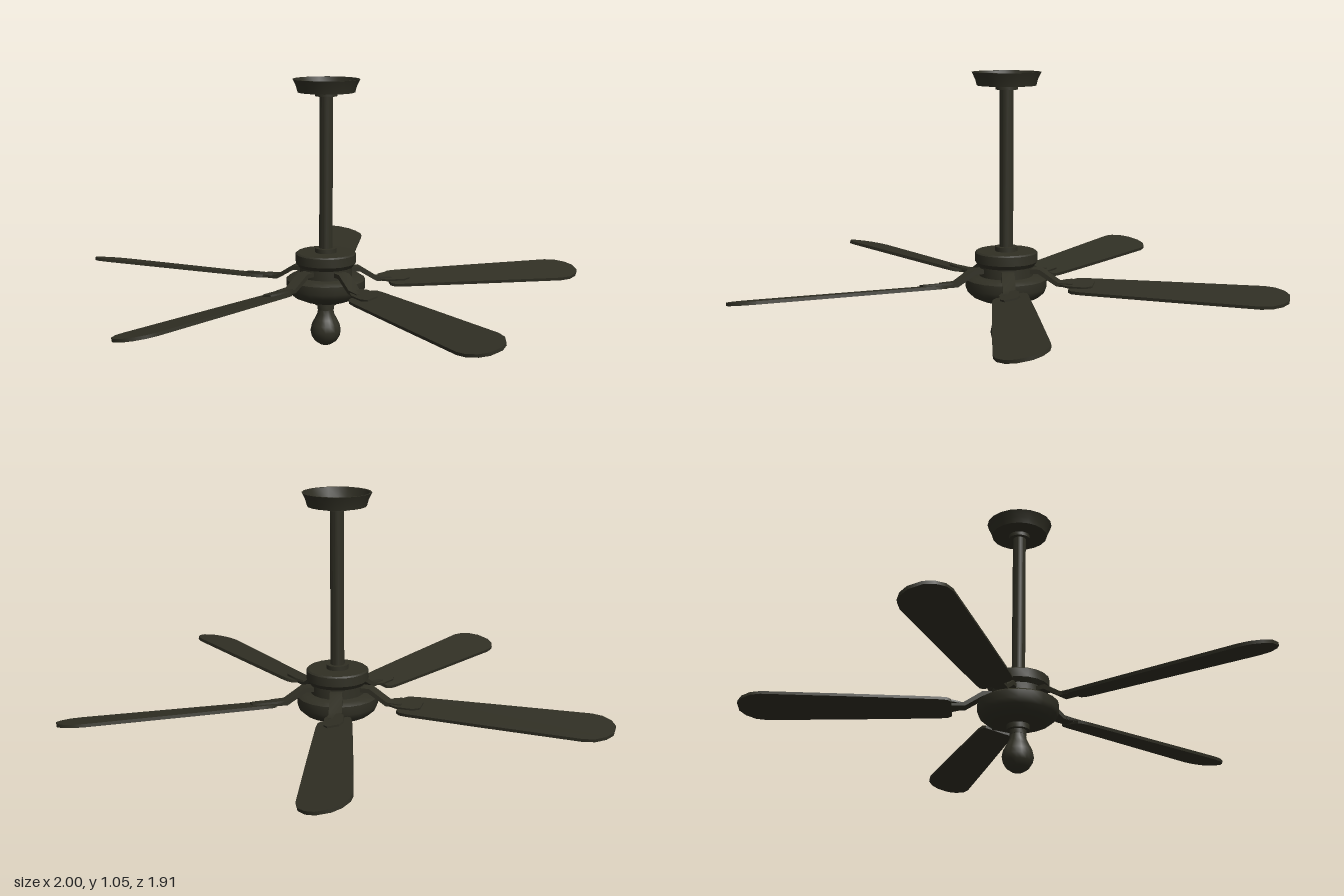
import * as THREE from 'three';
import { toCreasedNormals } from 'three/addons/utils/BufferGeometryUtils.js';

const darkBronze = new THREE.MeshStandardMaterial({ color: 0x302f24, side: THREE.DoubleSide });
darkBronze.name = 'darkBronze';

function part(name, geometry) {
  const mesh = new THREE.Mesh(toCreasedNormals(geometry, 0.6), darkBronze);
  mesh.name = name;
  return mesh;
}

// Turned part from [radius, height] pairs, bottom to top
function turned(name, profile, sides = 20) {
  return part(name, new THREE.LatheGeometry(profile.map(([r, y]) => new THREE.Vector2(r, y)), sides));
}

// Flat outline mirrored about its long axis, laid horizontally and centred in height
function plate(name, half, thickness) {
  const outline = [...half, ...half.map(([x, w]) => [x, -w]).reverse()];
  const shape = new THREE.Shape(outline.map(([x, w]) => new THREE.Vector2(x, w)));
  const geo = new THREE.ExtrudeGeometry(shape, { depth: thickness, bevelEnabled: false });
  geo.translate(0, 0, -thickness / 2).rotateX(-Math.PI / 2);
  return part(name, geo);
}

// One blade with its bracket, pointing along +x
function bladeUnit() {
  const unit = new THREE.Group();
  unit.name = 'bladeUnit';

  const pitched = new THREE.Group();
  pitched.name = 'pitchedBlade';
  pitched.position.y = 0.256;
  pitched.rotation.x = 0.2;
  pitched.add(plate('blade', [
    [0.25, 0.05], [0.265, 0.062], [0.3, 0.066], [0.6, 0.078], [0.95, 0.09],
    [0.99, 0.082], [1.025, 0.058], [1.045, 0.025],
  ], 0.012));
  const mount = plate('bladeMount', [[0.215, 0.024], [0.245, 0.036], [0.31, 0.036], [0.335, 0.022]], 0.008);
  mount.position.y = 0.009;
  pitched.add(mount);
  unit.add(pitched);

  // Cranked arm stepping down from the motor to the blade
  const side = new THREE.Shape([
    [0.08, 0.315], [0.135, 0.315], [0.205, 0.27], [0.26, 0.268],
    [0.26, 0.255], [0.2, 0.255], [0.13, 0.298], [0.08, 0.298],
  ].map(([x, y]) => new THREE.Vector2(x, y)));
  const arm = new THREE.ExtrudeGeometry(side, { depth: 0.048, bevelEnabled: false });
  arm.translate(0, 0, -0.024);
  unit.add(part('bladeArm', arm));
  return unit;
}

export function createModel() {
  const fan = new THREE.Group();
  fan.name = 'ceilingFan';
  fan.position.z = -0.095;

  // Ceiling canopy: an open dish with a short collar
  fan.add(turned('canopy', [[0, 0.998], [0.11, 0.998], [0.116, 1.02], [0.129, 1.048], [0.122, 1.048], [0.11, 1.008], [0, 1.008]]));
  fan.add(turned('canopyCollar', [[0, 0.983], [0.042, 0.983], [0.042, 1], [0, 1]], 16));

  // Down rod and lower collar
  const rod = part('downRod', new THREE.CylinderGeometry(0.026, 0.026, 0.62, 16));
  rod.position.y = 0.68;
  fan.add(rod);
  fan.add(turned('rodCollar', [[0, 0.37], [0.042, 0.37], [0.042, 0.394], [0, 0.394]], 16));

  // Motor housing
  fan.add(turned('motorCap', [[0, 0.322], [0.106, 0.322], [0.118, 0.338], [0.118, 0.372], [0.112, 0.377], [0, 0.377]]));
  fan.add(turned('motorNeck', [[0, 0.27], [0.102, 0.27], [0.102, 0.325], [0, 0.325]]));
  fan.add(turned('motorBowl', [[0, 0.188], [0.09, 0.188], [0.125, 0.203], [0.147, 0.222], [0.154, 0.24], [0.154, 0.272], [0.135, 0.284], [0, 0.284]]));

  // Light socket and bulb
  fan.add(turned('lightSocket', [[0, 0.148], [0.032, 0.148], [0.032, 0.166], [0.043, 0.168], [0.043, 0.192], [0, 0.192]], 16));
  fan.add(turned('bulb', [
    [0, 0.002], [0.023, 0.007], [0.043, 0.021], [0.056, 0.042], [0.06, 0.063],
    [0.055, 0.087], [0.043, 0.11], [0.033, 0.13], [0.03, 0.152], [0, 0.152],
  ], 18));

  // Five blades, the first facing forward
  for (let i = 0; i < 5; i++) {
    const unit = bladeUnit();
    unit.rotation.y = -Math.PI / 2 + (i * Math.PI * 2) / 5;
    fan.add(unit);
  }

  const model = new THREE.Group();
  model.name = 'model';
  model.add(fan);
  return model;
}
